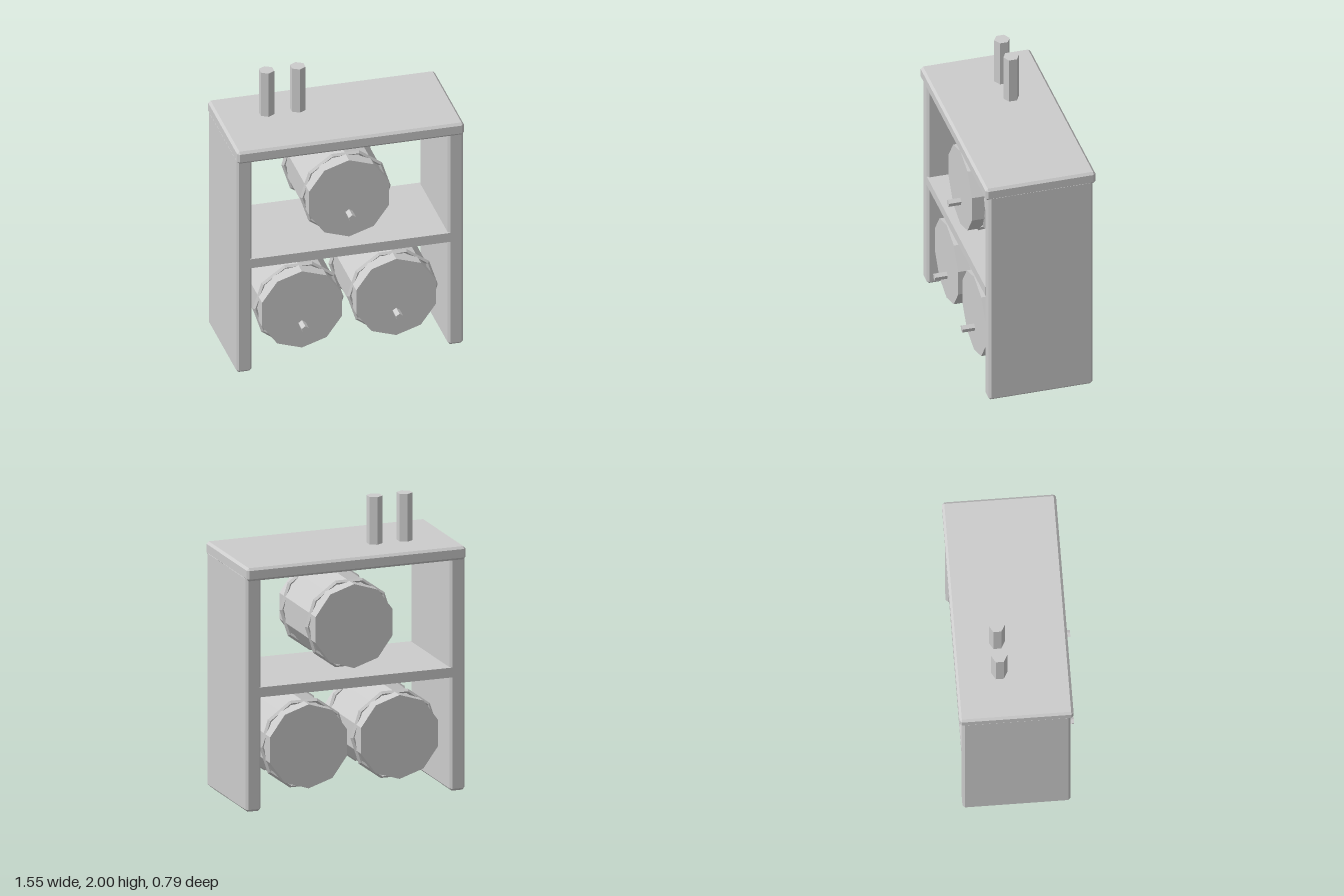
import * as THREE from 'three';
import { ConvexGeometry } from 'three/addons/geometries/ConvexGeometry.js';

// Box with every edge chamfered by c
function chamferBox(w, h, d, c) {
  const pts = [];
  for (const x of [-1, 1]) for (const y of [-1, 1]) for (const z of [-1, 1]) {
    const [a, b, e] = [w / 2, h / 2, d / 2];
    pts.push(
      new THREE.Vector3(x * a, y * (b - c), z * (e - c)),
      new THREE.Vector3(x * (a - c), y * b, z * (e - c)),
      new THREE.Vector3(x * (a - c), y * (b - c), z * e));
  }
  return new ConvexGeometry(pts);
}

export function createModel() {
  const model = new THREE.Group();
  model.name = 'barrelRack';
  const grey = new THREE.MeshStandardMaterial({ color: 0xcccccc });
  grey.name = 'plain grey';
  grey.flatShading = true;

  const add = (parent, name, geometry, x, y, z) => {
    const mesh = new THREE.Mesh(geometry, grey);
    mesh.name = name;
    mesh.position.set(x, y, z);
    parent.add(mesh);
    return mesh;
  };

  const midZ = -0.0175;

  // Cabinet: counter top, side panels and middle shelf
  add(model, 'counterTop', chamferBox(1.55, 0.09, 0.755, 0.016), 0, 1.625, midZ);
  for (const s of [1, -1]) {
    add(model, s > 0 ? 'leftPanel' : 'rightPanel',
      chamferBox(0.105, 1.61, 0.715, 0.016), s * 0.7225, 0.805, midZ);
  }
  add(model, 'shelf', new THREE.BoxGeometry(1.37, 0.067, 0.715), 0, 0.812, midZ);

  // Barrels: ten-sided body, two hoops and a front tap
  const body = new THREE.CylinderGeometry(0.287, 0.287, 0.655, 10).rotateX(Math.PI / 2);
  const hoop = new THREE.TorusGeometry(0.296, 0.015, 4, 10);
  const tap = new THREE.CylinderGeometry(0.026, 0.026, 0.11, 5).rotateX(-Math.PI / 2);
  const spots = [['topBarrel', 0, 1.19], ['lowerLeftBarrel', 0.322, 0.4], ['lowerRightBarrel', -0.322, 0.4]];
  for (const [name, x, y] of spots) {
    const barrel = new THREE.Group();
    barrel.name = name;
    barrel.position.set(x, y, midZ);
    add(barrel, 'barrelBody', body, 0, 0, 0);
    add(barrel, 'frontHoop', hoop, 0, 0, 0.23);
    add(barrel, 'backHoop', hoop, 0, 0, -0.23);
    add(barrel, 'tap', tap, 0, -0.107, 0.3575);
    model.add(barrel);
  }

  // Two six-sided posts above the counter
  const post = new THREE.CylinderGeometry(0.053, 0.053, 0.325, 6);
  for (const x of [-0.45, -0.237]) add(model, 'post', post, x, 1.8375, -0.108);

  return model;
}
